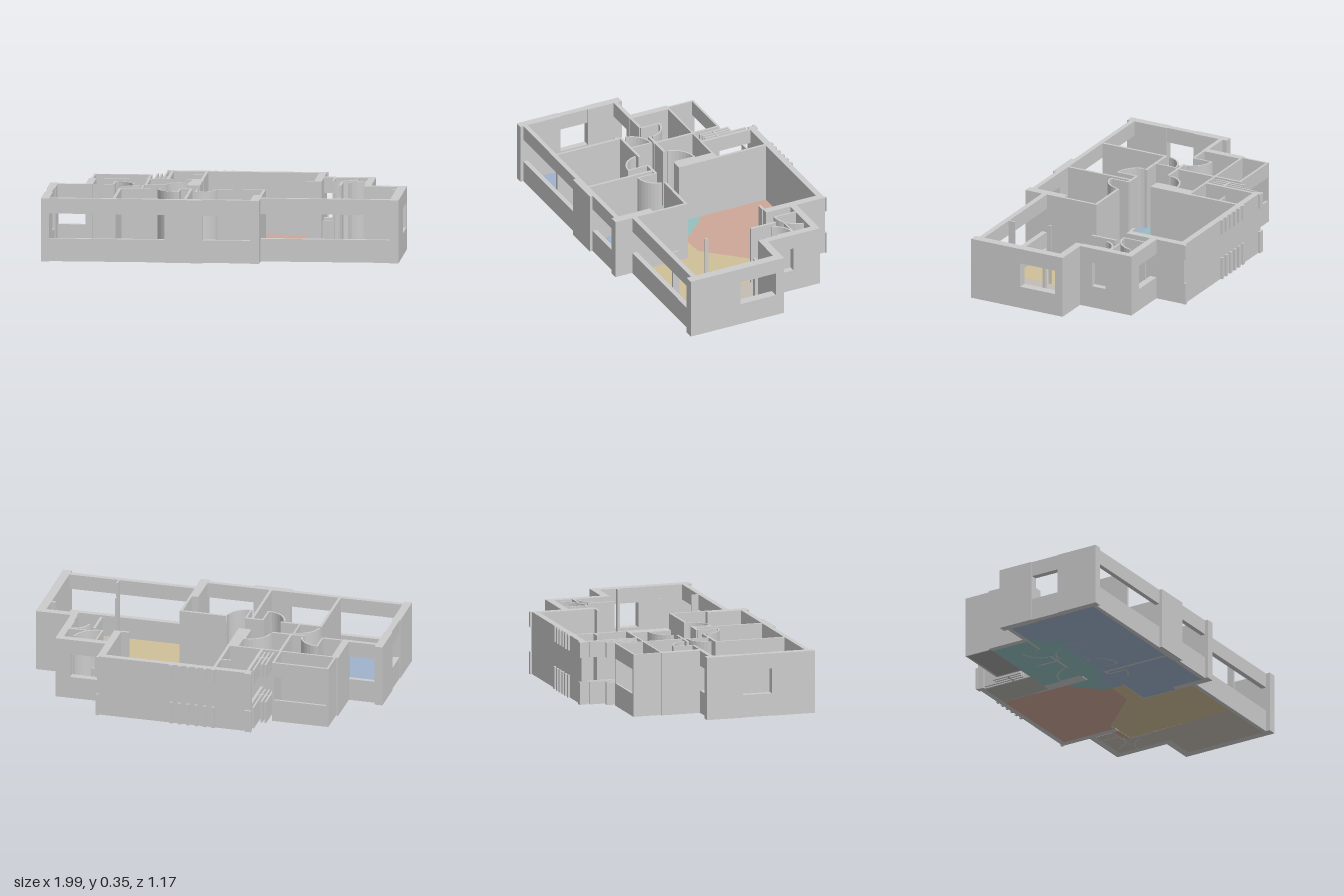
import * as THREE from 'three';

const H = 0.353, SILL = 0.127, LINTEL = 0.267;

export function createModel() {
  const root = new THREE.Group();
  root.name = 'apartment';
  const wallMat = new THREE.MeshStandardMaterial({ color: 0xcccccc });

  const group = (name) => {
    const g = new THREE.Group();
    g.name = name;
    root.add(g);
    return g;
  };
  const outer = group('outerWalls'), inner = group('partitions'), windows = group('windowWalls');
  const doors = group('doors'), fins = group('fins'), floors = group('floors');

  // Axis-aligned wall block given by its plan rectangle
  const block = (parent, name, x0, x1, z0, z1, y0 = 0, y1 = H) => {
    const m = new THREE.Mesh(new THREE.BoxGeometry(x1 - x0, y1 - y0, z1 - z0), wallMat);
    m.position.set((x0 + x1) / 2, (y0 + y1) / 2, (z0 + z1) / 2);
    m.name = name;
    parent.add(m);
  };
  // Sill and lintel with an open band between them
  const openWall = (parent, name, ...r) => {
    block(parent, name + 'Sill', ...r, 0, SILL);
    block(parent, name + 'Lintel', ...r, LINTEL, H);
  };
  // Plan outline (x, z) raised to a height
  const extrude = (parent, name, pts, depth, material) => {
    const shape = new THREE.Shape(pts.map(([x, z]) => new THREE.Vector2(x, -z)));
    const geo = new THREE.ExtrudeGeometry(shape, { depth, bevelEnabled: false });
    geo.rotateX(-Math.PI / 2);
    const m = new THREE.Mesh(geo, material);
    m.name = name;
    parent.add(m);
  };

  // Solid outer walls and piers: x0, x1, z0, z1
  [
    ['rightBedroomWallBack', -1, -0.955, -0.05, 0.16],
    ['rightBedroomWallFront', -1, -0.955, 0.33, 0.58],
    ['frontCentrePier', -0.31, -0.1, 0.535, 0.58],
    ['frontStepPier', 0.165, 0.215, 0.34, 0.58],
    ['frontStepWall', 0.2, 0.215, 0.13, 0.34],
    ['frontLeftCorner', 0.935, 0.985, 0.19, 0.5],
    ['leftWallBack', 0.935, 0.985, -0.08, -0.03],
    ['leftReturnWall', 0.75, 0.94, -0.08, -0.037],
    ['bathSideWallFront', 0.745, 0.785, -0.155, -0.08],
    ['bathSideWallBack', 0.745, 0.785, -0.405, -0.24],
    ['bathBackPier', 0.7, 0.745, -0.405, -0.365],
    ['salonSideWall', 0.455, 0.497, -0.58, -0.215],
    ['salonBackWall', -0.385, 0.497, -0.58, -0.545],
    ['salonSideEnd', 0.41, 0.455, -0.225, -0.21],
    ['bathroomOuterWall', -0.8, -0.76, -0.25, 0],
    ['balconySideWall', -0.787, -0.775, -0.41, -0.25],
    ['balconyInnerWall', -0.475, -0.462, -0.41, -0.25],
  ].forEach((w) => block(outer, ...w));
  [LINTEL, 0].forEach((y) => {
    const top = y ? H : SILL;
    block(outer, 'backCorner', -0.392, -0.355, -0.592, -0.58, y, top);
    block(outer, 'backCorner', 0.485, 0.502, -0.592, -0.58, y, top);
  });

  // Walls pierced by a window band
  [
    ['frontRightWindow', -0.955, -0.31, 0.535, 0.562],
    ['frontMiddleWindow', -0.1, 0.165, 0.535, 0.562],
    ['livingWindow', 0.215, 0.935, 0.445, 0.475],
    ['bedroomSideWindow', -0.995, -0.96, 0.16, 0.33],
    ['bedroomBackWindow', -0.955, -0.8, -0.025, 0],
    ['leftWindow', 0.935, 0.985, -0.03, 0.19],
    ['bathSideWindow', 0.75, 0.785, -0.24, -0.155],
    ['bathBackWindow', 0.497, 0.7, -0.405, -0.365],
    ['balconyWindow', -0.775, -0.475, -0.41, -0.397],
    ['serviceWindow', -0.37, -0.353, -0.545, -0.25],
  ].forEach((w) => openWall(windows, ...w));

  // Interior partitions
  [
    ['bedroomPartition', -0.603, -0.588, 0.13, 0.535],
    ['bedroomPartition', -0.207, -0.192, 0.13, 0.535],
    ['bedroomBackWall', -0.603, -0.365, 0.13, 0.145],
    ['bedroomBackWall', -0.26, -0.165, 0.13, 0.145],
    ['bedroomBackWall', -0.05, 0.215, 0.13, 0.145],
    ['bathroomBackWall', -0.8, -0.16, -0.25, -0.238],
    ['bathroomDivider', -0.472, -0.458, -0.24, 0],
    ['bathroomFrontWall', -0.76, -0.65, -0.018, -0.004],
    ['bathroomFrontWall', -0.54, -0.355, -0.018, -0.004],
    ['hallColumn', -0.225, -0.162, -0.25, -0.005],
    ['serviceWall', -0.178, -0.162, -0.545, -0.25],
    ['salonFoldingPost', -0.235, -0.178, -0.44, -0.43],
    ['bathCorridorWall', 0.605, 0.62, -0.215, -0.06],
    ['bathThreshold', 0.5, 0.62, -0.26, -0.25, 0, SILL],
    ['bathPartition', 0.645, 0.745, -0.26, -0.25],
    ['livingPost', 0.645, 0.655, 0.405, 0.445],
    ['livingPost', 0.598, 0.606, 0.2, 0.22],
    ['sideWindowPost', 0.91, 0.935, 0.06, 0.075],
  ].forEach((w) => block(inner, ...w));

  // Door leaves with curved swings: hinge x, hinge z, radius, leaf angle, end angle (0 = +x, 90 = +z)
  [
    [-0.645, -0.01, 0.12, -90, 0],
    [-0.23, -0.01, 0.13, -90, -180],
    [-0.262, 0.137, 0.125, 90, 180],
    [-0.165, 0.137, 0.115, 90, 0],
    [-0.475, 0.13, 0.125, 270, 180],
    [0.745, -0.155, 0.1, 270, 180],
    [0.56, -0.37, 0.14, 90, 0],
  ].forEach(([cx, cz, r, a, b]) => {
    const arc = (rad, flip) => Array.from({ length: 9 }, (_, i) => {
      const t = THREE.MathUtils.degToRad(a + (b - a) * 0.9 * (flip ? 8 - i : i) / 8);
      return [cx + rad * Math.cos(t), cz + rad * Math.sin(t)];
    });
    extrude(doors, 'doorSwing', [...arc(r, false), ...arc(r - 0.01, true)], H, wallMat);
    const t = THREE.MathUtils.degToRad(a), s = Math.sin(t);
    block(doors, 'doorLeaf', cx - 0.005, cx + 0.005, Math.min(cz, cz + s * r), Math.max(cz, cz + s * r));
  });

  // Two rows of fins on the back wall and blades beside the service window
  for (const [y0, y1] of [[0, SILL], [LINTEL, H]]) {
    for (let i = 0; i < 6; i++) {
      const x = -0.18 + i * 0.048;
      block(fins, 'backFin', x, x + 0.018, -0.592, -0.58, y0, y1);
    }
    block(fins, 'serviceBlade', -0.393, -0.383, -0.535, -0.28, y0, y1);
    block(fins, 'serviceBlade', -0.417, -0.407, -0.45, -0.28, y0, y1);
    block(fins, 'serviceBlade', -0.44, -0.43, -0.45, -0.27, y0, y1);
    block(fins, 'bladeTie', -0.44, -0.37, -0.36, -0.35, y0, y1);
  }

  // Coloured room floors
  const rect = (x0, x1, z0, z1) => [[x0, z0], [x1, z0], [x1, z1], [x0, z1]];
  const blue = 0xa0b2cd, teal = 0x94c0bf, red = 0xcda797, yellow = 0xcfc097;
  [
    ['firstBedroomFloor', blue, [[-0.96, 0], [-0.79, 0], [-0.64, 0.16], [-0.6, 0.16], [-0.6, 0.54], [-0.96, 0.54]]],
    ['secondBedroomFloor', blue, rect(-0.6, -0.2, 0.125, 0.54)],
    ['thirdBedroomFloor', blue, [[-0.2, 0.125], [-0.12, 0.05], [0, 0.05], [0, 0.135], [0.205, 0.135],
      [0.205, 0.345], [0.17, 0.345], [0.17, 0.54], [-0.2, 0.54]]],
    ['bathroomFloor', teal, rect(-0.765, -0.22, -0.245, 0)],
    ['hallFloor', teal, [[-0.79, 0], [-0.22, 0], [-0.165, 0], [-0.165, -0.15], [0, 0.01], [0, 0.05],
      [-0.12, 0.05], [-0.2, 0.125], [-0.6, 0.125], [-0.6, 0.16], [-0.64, 0.16]]],
    ['salonFloor', red, [[-0.165, -0.55], [0.46, -0.55], [0.46, -0.215], [0.41, -0.21], [0.17, 0.045],
      [0, 0.055], [0, 0.01], [-0.165, -0.15]]],
    ['corridorFloor', red, rect(0.497, 0.61, -0.255, -0.212)],
    ['livingFloor', yellow, [[0.41, -0.21], [0.605, -0.21], [0.605, 0.21], [0.595, 0.22], [0.595, 0.45],
      [0.21, 0.45], [0.21, 0.135], [0, 0.135], [0, 0.055], [0.17, 0.045]]],
    ['terraceFloor', 0xc3bdb5, [[0.61, -0.255], [0.5, -0.255], [0.5, -0.37], [0.75, -0.37], [0.75, -0.04],
      [0.94, -0.04], [0.94, 0.45], [0.595, 0.45], [0.595, 0.22], [0.605, 0.21]]],
    ['serviceFloor', 0xb5b6ae, rect(-0.36, -0.17, -0.55, -0.245)],
    ['balconyFloor', 0xa3a3a3, rect(-0.78, -0.47, -0.4, -0.245)],
  ].forEach(([name, color, pts]) =>
    extrude(floors, name, pts, 0.004, new THREE.MeshStandardMaterial({ color })));

  return root;
}
